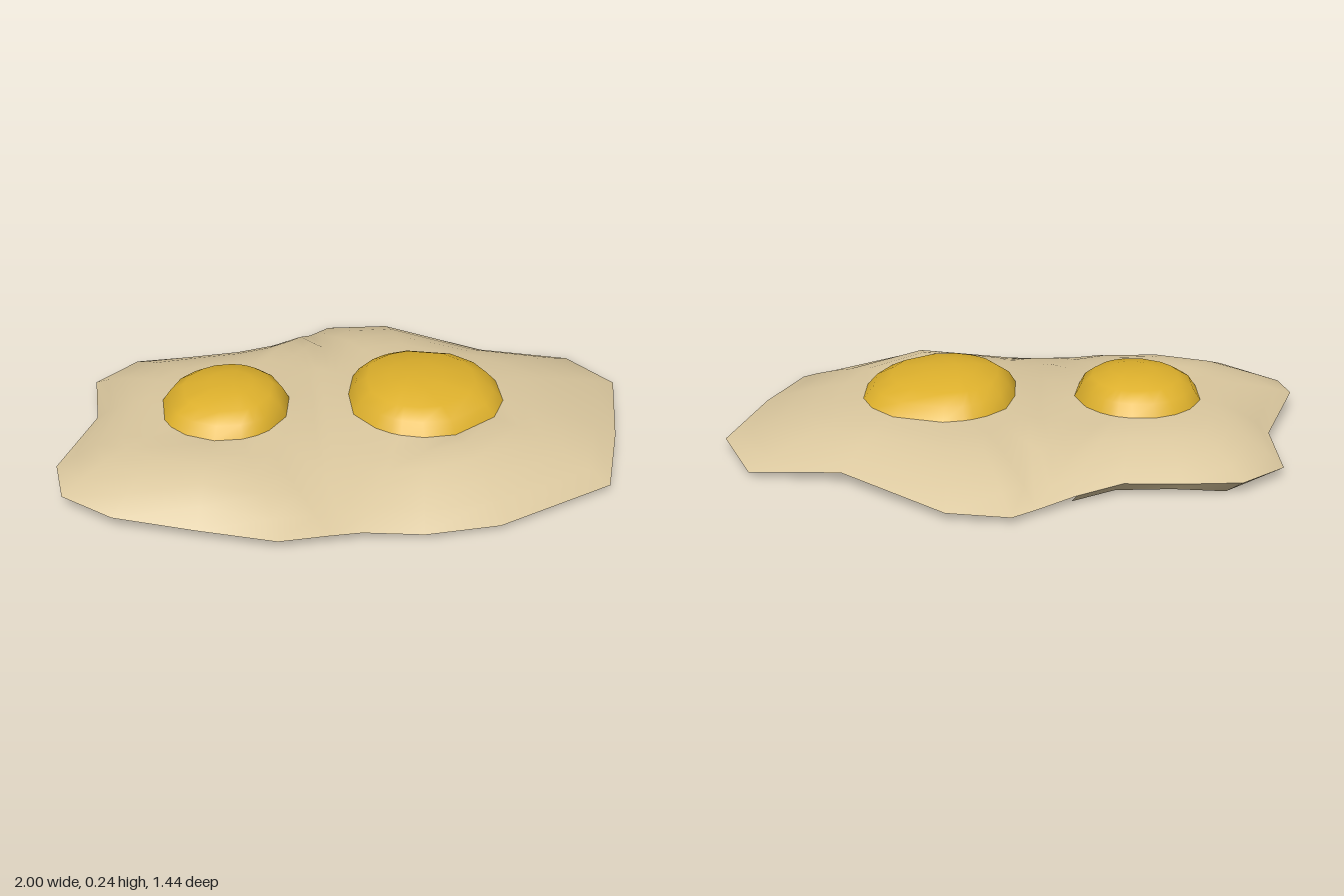
import * as THREE from 'three';
import { mergeVertices } from 'three/addons/utils/BufferGeometryUtils.js';

const BASE_Y = 0.142;

// Egg white outline, clockwise from the back: x, z, rim height, fullness of the slope, extra hump
const RIGHT_RIM = [
  [-0.105, -0.66, 0.02, 2.3, 0], [-0.03, -0.72, 0.02, 2.4, 0], [0.18, -0.71, 0.025, 2.4, 0],
  [0.55, -0.46, 0.04, 1.7, 0], [0.87, -0.42, 0.015, 1.5, 0], [1.0, -0.19, 0.035, 1.4, 0],
  [0.93, 0.17, 0.035, 1.6, 0], [0.85, 0.46, 0.02, 1.5, 0.006], [0.45, 0.66, 0.015, 2, 0.025],
  [0.2, 0.7, 0.02, 1.7, 0.008], [0, 0.69, 0.03, 1.3, 0], [-0.105, 0.7, 0.03, 1.4, 0],
];
const LEFT_RIM = [
  [-0.105, 0.7, 0.03, 1.4, 0], [-0.27, 0.72, 0.03, 2, 0], [-0.53, 0.65, 0.035, 3, 0.008],
  [-0.8, 0.575, 0.045, 3, 0.006], [-0.97, 0.45, 0.05, 2.4, 0], [-1.0, 0.29, 0.065, 2, 0],
  [-0.89, -0.05, 0.045, 2, 0], [-0.915, -0.32, 0.035, 2, 0], [-0.77, -0.46, 0.04, 1.9, 0],
  [-0.58, -0.48, 0.04, 1.9, 0], [-0.38, -0.5, 0.045, 2, 0], [-0.23, -0.57, 0.03, 2.2, 0],
  [-0.105, -0.66, 0.02, 2.3, 0],
];
// Shallow valley between the yolks, front to back
const VALLEY = [
  [-0.105, 0.45, 0.098, 1, 0], [-0.105, 0.2, 0.125, 1, 0], [-0.105, 0, 0.13, 1, 0],
  [-0.105, -0.2, 0.132, 1, 0], [-0.105, -0.42, 0.118, 1, 0],
];

// Each half: a yolk (centre, radii, flattened inner side, peak) and the border of white around it
const HALVES = [
  {
    name: 'leftYolk', x: 0.265, z: 0.03, rx: 0.28, rz: 0.285, flat: -0.94,
    px: -0.05, pz: 0.02, top: 0.24, border: [...RIGHT_RIM, ...VALLEY],
  },
  {
    name: 'rightYolk', x: -0.43, z: 0.055, rx: 0.225, rz: 0.235, flat: -1,
    px: 0.03, pz: 0, top: 0.233, border: [...LEFT_RIM, ...[...VALLEY].reverse()],
  },
];

// Loop of a yolk, with one corner facing each border point
function yolkRing(h, scale, y) {
  return h.border.map(([bx, bz]) => {
    const a = Math.atan2((bz - h.z) / h.rz, (bx - h.x) / h.rx);
    return [
      h.x + h.rx * scale * Math.max(Math.cos(a), h.flat) + h.px * (1 - scale),
      y,
      h.z + h.rz * scale * Math.sin(a) + h.pz * (1 - scale),
    ];
  });
}

// Loop of the white, t = 0 at the yolk and 1 at the border
function whiteRing(h, t) {
  const s = Math.sqrt(t);
  return yolkRing(h, 1, BASE_Y).map(([x, , z], i) => {
    const [bx, bz, by, full, hump] = h.border[i];
    const y = by + (BASE_Y - by) * (1 - t ** full) + hump * 4 * s * (1 - s);
    return [x + (bx - x) * t, y, z + (bz - z) * t];
  });
}

// Join loops from the outside in; closed loops wrap around
function loft(points, index, rings, closed = true) {
  const n = rings[0].length;
  const start = points.length;
  points.push(...rings.flat());
  for (let r = 0; r < rings.length - 1; r++) {
    for (let i = 0; i < (closed ? n : n - 1); i++) {
      const a = start + r * n + i, b = start + r * n + (i + 1) % n;
      index.push(b, a, a + n, b, a + n, b + n);
    }
  }
}

function buildGeometry(points, index) {
  const g = new THREE.BufferGeometry();
  g.setAttribute('position', new THREE.Float32BufferAttribute(points.flat(), 3));
  g.setIndex(index);
  const merged = mergeVertices(g, 1e-4);
  merged.computeVertexNormals();
  return merged;
}

// Both halves of the white, welded along the valley and open under each yolk
function whiteGeometry() {
  const points = [], index = [];
  for (const h of HALVES) {
    loft(points, index, [1, 0.82, 0.62, 0.42, 0.22, 0].map((t) => whiteRing(h, t)));
  }
  return buildGeometry(points, index);
}

// Edge curling under at the back right corner
function curlGeometry() {
  const points = [], index = [];
  const edge = LEFT_RIM.slice(7, 12);
  const under = edge.map(([x, z], i) => [x * 0.93, i === 2 || i === 3 ? 0.012 : 0, z * 0.96]);
  loft(points, index, [under, edge.map(([x, z, y]) => [x, y, z])], false);
  return buildGeometry(points, index);
}

// Open dome closed by a single peak
function yolkGeometry(h) {
  const points = [], index = [];
  const peak = h.border.map(() => [h.x + h.px, h.top, h.z + h.pz]);
  loft(points, index, [
    yolkRing(h, 1, BASE_Y), yolkRing(h, 0.89, 0.183), yolkRing(h, 0.7, 0.213),
    yolkRing(h, 0.36, 0.231), peak,
  ]);
  return buildGeometry(points, index);
}

function material(name, color) {
  const m = new THREE.MeshStandardMaterial({ color, side: THREE.DoubleSide });
  m.name = name;
  return m;
}

export function createModel() {
  const group = new THREE.Group();
  group.name = 'friedEggs';
  const white = material('cooked egg white', 0xdac79e);
  const yellow = material('yolk yellow', 0xddb02c);

  const add = (name, geometry, mat) => {
    const mesh = new THREE.Mesh(geometry, mat);
    mesh.name = name;
    group.add(mesh);
  };
  add('eggWhite', whiteGeometry(), white);
  add('curledEdge', curlGeometry(), white);
  for (const h of HALVES) add(h.name, yolkGeometry(h), yellow);
  return group;
}
